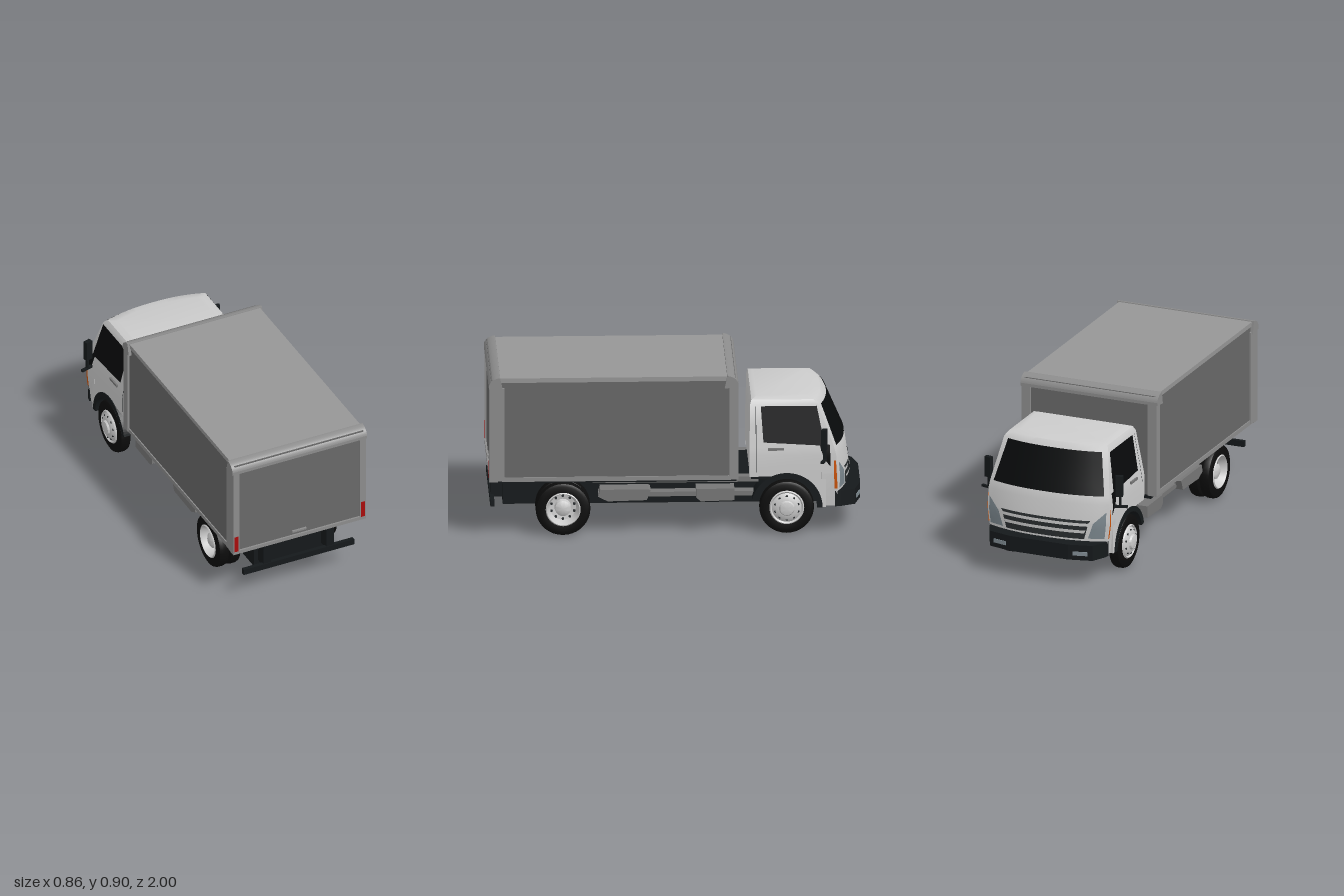
import * as THREE from 'three';
import { toCreasedNormals } from 'three/addons/utils/BufferGeometryUtils.js';

const mat = (color, side = THREE.FrontSide) => new THREE.MeshStandardMaterial({ color, side });
const D = THREE.DoubleSide;
const white = mat(0xf0f0f0), dark = mat(0x15191b), rubber = mat(0x0c0c0c), trim = mat(0x8c8c8c);
const panel = mat(0x686868), roofGrey = mat(0x969696), metal = mat(0xcccccc, D), tank = mat(0x777777);
const glass = mat(0x080a0b, D), orange = mat(0xd0560c, D), lampGrey = mat(0x7f8b92, D), red = mat(0xa80c0c);
const gap = mat(0x2a2e30, D);

// Cab sections: y, half width, front z at the centre, front z at the corner, back z
const LEVELS = [
  [0.15, 0.335, -0.93, -0.87, -0.4], [0.33, 0.355, -0.94, -0.875, -0.4], [0.44, 0.355, -0.925, -0.865, -0.4],
  [0.48, 0.35, -0.915, -0.855, -0.4], [0.71, 0.305, -0.815, -0.77, -0.405], [0.733, 0.29, -0.79, -0.745, -0.412],
  [0.745, 0.255, -0.74, -0.7, -0.44],
];
function level(y) {
  let i = 0;
  while (i < LEVELS.length - 2 && y > LEVELS[i + 1][0]) i++;
  const a = LEVELS[i], b = LEVELS[i + 1], t = (y - a[0]) / (b[0] - a[0]);
  return a.map((v, k) => v + (b[k] - v) * t);
}
// Point on the bowed cab front, s from -1 to 1 across the width
function frontPoint(s, y, off = 0) {
  const [, w, zc, zs] = level(y);
  return [s * w, y, zs + (zc - zs) * (1 - Math.abs(s) ** 2.4) - off];
}

function fromTriangles(pos, crease) {
  const g = new THREE.BufferGeometry();
  g.setAttribute('position', new THREE.Float32BufferAttribute(pos, 3));
  g.computeVertexNormals();
  return toCreasedNormals(g, crease);
}
// Solid through horizontal rings, capped at both ends
function loft(rings) {
  const pos = [], n = rings[0].length;
  const tri = (...p) => p.forEach(v => pos.push(...v));
  for (let j = 0; j < rings.length - 1; j++) for (let i = 0; i < n; i++) {
    const k = (i + 1) % n, a = rings[j], b = rings[j + 1];
    tri(a[i], a[k], b[k]);
    tri(a[i], b[k], b[i]);
  }
  const bot = rings[0], top = rings[rings.length - 1];
  for (let i = 1; i < n - 1; i++) {
    tri(top[0], top[i], top[i + 1]);
    tri(bot[0], bot[i + 1], bot[i]);
  }
  return fromTriangles(pos, 0.5);
}
function cabRing(y, back) {
  const [, w, , , zb] = level(y), z = back ?? zb, ring = [[w, y, z]];
  for (let i = 0; i <= 16; i++) ring.push(frontPoint(1 - i / 8, y));
  ring.push([-w, y, z]);
  return ring;
}
// Four-cornered skin laid on a surface by a mapping
function patch(c, map, n = 12) {
  const pos = [];
  const at = (u, v) => map(...[0, 1].map(k =>
    (c[0][k] * (1 - u) + c[1][k] * u) * (1 - v) + (c[3][k] * (1 - u) + c[2][k] * u) * v));
  for (let i = 0; i < n; i++) for (let j = 0; j < 4; j++) {
    const p = [[i, j], [i + 1, j], [i + 1, j + 1], [i, j + 1]].map(([a, b]) => at(a / n, b / 4));
    [0, 1, 2, 0, 2, 3].forEach(k => pos.push(...p[k]));
  }
  return fromTriangles(pos, 0.6);
}
// Outline in (z, y), extruded across x from x0 to x1
function acrossX(shape, x0, x1) {
  const g = new THREE.ExtrudeGeometry(shape, { depth: x1 - x0, bevelEnabled: false, curveSegments: 20 });
  return g.rotateY(-Math.PI / 2).translate(x1, 0, 0);
}
const poly = pts => new THREE.Shape(pts.map(p => new THREE.Vector2(...p)));

export function createModel() {
  const root = new THREE.Group();
  const add = (name, geo, m, parent = root) => {
    const mesh = new THREE.Mesh(geo, m);
    mesh.name = name;
    parent.add(mesh);
    return mesh;
  };
  // Box given by its limits
  const box = (name, m, x0, x1, y0, y1, z0, z1, parent) => add(name,
    new THREE.BoxGeometry(x1 - x0, y1 - y0, z1 - z0).translate((x0 + x1) / 2, (y0 + y1) / 2, (z0 + z1) / 2), m, parent);
  const both = (name, m, x0, x1, ...r) => {
    box(name, m, x0, x1, ...r);
    box(name, m, -x1, -x0, ...r);
  };
  const span = (shape, s, x0, x1) => s > 0 ? acrossX(shape, x0, x1) : acrossX(shape, -x1, -x0);

  // Cargo box with its frame
  box('cargoBody', panel, -0.385, 0.385, 0.32, 0.885, -0.325, 0.988);
  box('cargoRoof', roofGrey, -0.39, 0.39, 0.87, 0.895, -0.29, 0.94);
  box('cargoFloor', dark, -0.36, 0.36, 0.3, 0.32, -0.33, 0.95);
  both('rearPost', trim, 0.36, 0.396, 0.32, 0.84, 0.915, 0.998);
  both('frontPost', trim, 0.345, 0.396, 0.32, 0.84, -0.34, -0.29);
  both('sideSill', trim, 0.37, 0.391, 0.316, 0.34, -0.3, 0.93);
  box('rearSill', trim, -0.396, 0.396, 0.316, 0.336, 0.95, 0.998);
  const cap = (e, d) => { // outer end z and inward direction
    const s = new THREE.Shape();
    s.moveTo(e + d * 0.075, 0.83).lineTo(e + d * 0.06, 0.9).lineTo(e + d * 0.055, 0.9);
    s.quadraticCurveTo(e + d * 0.01, 0.893, e, 0.855).lineTo(e, 0.838);
    return s;
  };
  add('rearRoofCap', acrossX(cap(1, -1), -0.402, 0.402), trim);
  add('frontRoofCap', acrossX(cap(-0.34, 1), -0.402, 0.402), trim);
  both('tailLight', red, 0.366, 0.39, 0.335, 0.43, 0.99, 1);
  box('doorHandle', trim, -0.042, 0.042, 0.354, 0.364, 0.985, 0.998);

  // Chassis
  box('chassis', dark, -0.235, 0.235, 0.147, 0.3, -0.88, 0.92);
  box('cabFloor', dark, -0.33, 0.33, 0.3, 0.345, -0.86, -0.41);
  both('frameRail', tank, 0.22, 0.275, 0.27, 0.3, -0.45, 0.44);
  both('sideRail', tank, 0.235, 0.3, 0.2, 0.225, -0.43, 0.41);
  both('bumperHanger', dark, 0.165, 0.21, 0.18, 0.31, 0.9, 0.985);
  box('rearBumperBar', dark, -0.33, 0.33, 0.162, 0.195, 0.968, 0.99);
  const tanks = [poly([[0.13, 0.245], [0.15, 0.19], [0.36, 0.185], [0.41, 0.21], [0.4, 0.25], [0.14, 0.25]]),
    poly([[-0.32, 0.25], [-0.32, 0.185], [-0.14, 0.18], [-0.115, 0.2], [-0.115, 0.25]])];
  for (const s of [1, -1]) tanks.forEach(t => add('sideTank', span(t, s, 0.23, 0.335), tank));

  // Wheels: tyres and rims turned round the axle, built pointing along +x
  const lathe = pts => toCreasedNormals(new THREE.LatheGeometry(pts.map(p => new THREE.Vector2(...p)), 36)
    .rotateZ(-Math.PI / 2).toNonIndexed(), 0.6);
  const tyre = (a, b) => lathe([[0.092, a + 0.004], [0.128, a], [0.142, a + 0.007], [0.147, a + 0.02],
    [0.147, b - 0.02], [0.142, b - 0.007], [0.128, b], [0.092, b - 0.004], [0.09, b - 0.03]]);
  const wheel = (name, s, z, rear) => {
    const g = new THREE.Group();
    g.name = name;
    add('tyre', tyre(0.29, 0.356), rubber, g);
    if (rear) add('innerTyre', tyre(0.22, 0.287), rubber, g);
    add('rim', lathe(rear
      ? [[0.094, 0.352], [0.088, 0.358], [0.082, 0.345], [0.07, 0.305], [0.045, 0.3], [0.042, 0.335], [0.025, 0.345], [0, 0.346]]
      : [[0.094, 0.352], [0.088, 0.36], [0.08, 0.352], [0.062, 0.366], [0.042, 0.37], [0.036, 0.38], [0.02, 0.384], [0, 0.384]]),
    metal, g);
    const fx = rear ? 0.306 : 0.361;
    for (let i = 0; i < 10; i++) {
      const a = i * Math.PI / 5;
      add('ventHole', new THREE.CylinderGeometry(0.007, 0.007, 0.008, 10).rotateZ(Math.PI / 2)
        .translate(fx, 0.064 * Math.cos(a), 0.064 * Math.sin(a)), gap, g);
    }
    add('hubBack', new THREE.CylinderGeometry(0.095, 0.095, 0.02, 24).rotateZ(Math.PI / 2).translate(rear ? 0.235 : 0.3, 0, 0), dark, g);
    g.position.set(0, 0.147, z);
    if (s < 0) g.rotation.y = Math.PI;
    root.add(g);
  };
  for (const s of [1, -1]) {
    wheel('frontWheel', s, -0.6, false);
    wheel('rearWheel', s, 0.6, true);
  }
  for (const z of [-0.6, 0.6]) add('axle', new THREE.CylinderGeometry(0.025, 0.025, 0.6, 12).rotateZ(Math.PI / 2).translate(0, 0.147, z), dark);

  // Cab shell
  add('cabBody', loft([0.345, 0.44, 0.48, 0.6, 0.71, 0.733, 0.745].map(y => cabRing(y))), white);
  add('cabNose', loft([0.15, 0.33, 0.345].map(y => cabRing(y, -0.785))), white);
  const fender = new THREE.Shape();
  fender.moveTo(-0.4, 0.35).lineTo(-0.4, 0.32).lineTo(-0.521, 0.32);
  fender.absarc(-0.6, 0.147, 0.19, 1.14, Math.PI, false).lineTo(-0.81, 0.147).lineTo(-0.81, 0.35);
  const arch = new THREE.Shape();
  arch.absarc(-0.6, 0.147, 0.192, 0.25, Math.PI, false);
  arch.absarc(-0.6, 0.147, 0.163, Math.PI, 0.25, true);
  for (const s of [1, -1]) {
    add('fenderPanel', span(fender, s, 0.25, 0.352), white);
    add('wheelArch', span(arch, s, 0.22, 0.357), dark);
  }

  // Glass and front details
  const front = (name, c, m, off = 0.004) => add(name, patch(c, (u, y) => frontPoint(u, y, off)), m);
  front('windscreen', [[-0.93, 0.485], [0.93, 0.485], [0.9, 0.705], [-0.9, 0.705]], glass);
  front('upperGrille', [[-0.7, 0.335], [0.7, 0.335], [0.74, 0.35], [-0.74, 0.35]], gap);
  front('lowerGrille', [[-0.66, 0.245], [0.66, 0.245], [0.7, 0.318], [-0.7, 0.318]], gap);
  front('grilleBar', [[-0.66, 0.28], [0.66, 0.28], [0.68, 0.297], [-0.68, 0.297]], metal, 0.01);
  for (const s of [1, -1]) {
    front('headlight', [[s * 0.72, 0.25], [s * 0.965, 0.25], [s * 0.965, 0.4], [s * 0.78, 0.335]], lampGrey, 0.006);
    const side = (name, c, m, off = 0.004) => add(name, patch(c, (z, y) => [s * (level(y)[1] + off), y, z], 4), m);
    side('sideWindow', [[-0.475, 0.51], [-0.805, 0.49], [-0.762, 0.702], [-0.462, 0.702]], glass);
    side('quarterTrim', [[-0.8, 0.42], [-0.835, 0.375], [-0.832, 0.495], [-0.775, 0.5]], glass, 0.005);
    side('turnSignal', [[-0.856, 0.25], [-0.873, 0.25], [-0.864, 0.41], [-0.852, 0.41]], orange);
    side('doorSeam', [[-0.434, 0.345], [-0.437, 0.345], [-0.437, 0.7], [-0.434, 0.7]], gap, 0.002);
    const lo = s > 0 ? 0.348 : -0.36, hi = s > 0 ? 0.36 : -0.348;
    box('cabDoorHandle', tank, lo, hi, 0.467, 0.48, -0.585, -0.5);
    // Mirror on its arm
    const mirror = new THREE.Group();
    mirror.name = 'mirror';
    box('mirrorHead', dark, -0.02, 0.02, -0.055, 0.06, -0.013, 0.013, mirror);
    box('mirrorArm', dark, -0.012, 0, -0.12, -0.05, -0.008, 0.008, mirror);
    box('mirrorBracket', dark, -0.045, 0.045, -0.12, -0.108, -0.008, 0.008, mirror);
    mirror.position.set(s * 0.383, 0.53, -0.8);
    mirror.rotation.y = s * -0.3;
    root.add(mirror);
  }

  // Front bumper with fog lamps
  const bumper = poly([[0.345, -0.86], [0.338, -0.89], [0.3, -0.968], [0.17, -1], [-0.17, -1], [-0.3, -0.968], [-0.338, -0.89], [-0.345, -0.86]]);
  add('frontBumper', new THREE.ExtrudeGeometry(bumper, { depth: 0.085, bevelEnabled: false })
    .rotateX(Math.PI / 2).translate(0, 0.233, 0), dark);
  for (const s of [1, -1]) {
    const fog = add('fogLamp', new THREE.BoxGeometry(0.08, 0.022, 0.01), lampGrey);
    fog.position.set(s * 0.235, 0.185, -0.983);
    fog.rotation.y = s * -0.241;
  }
  return root;
}
